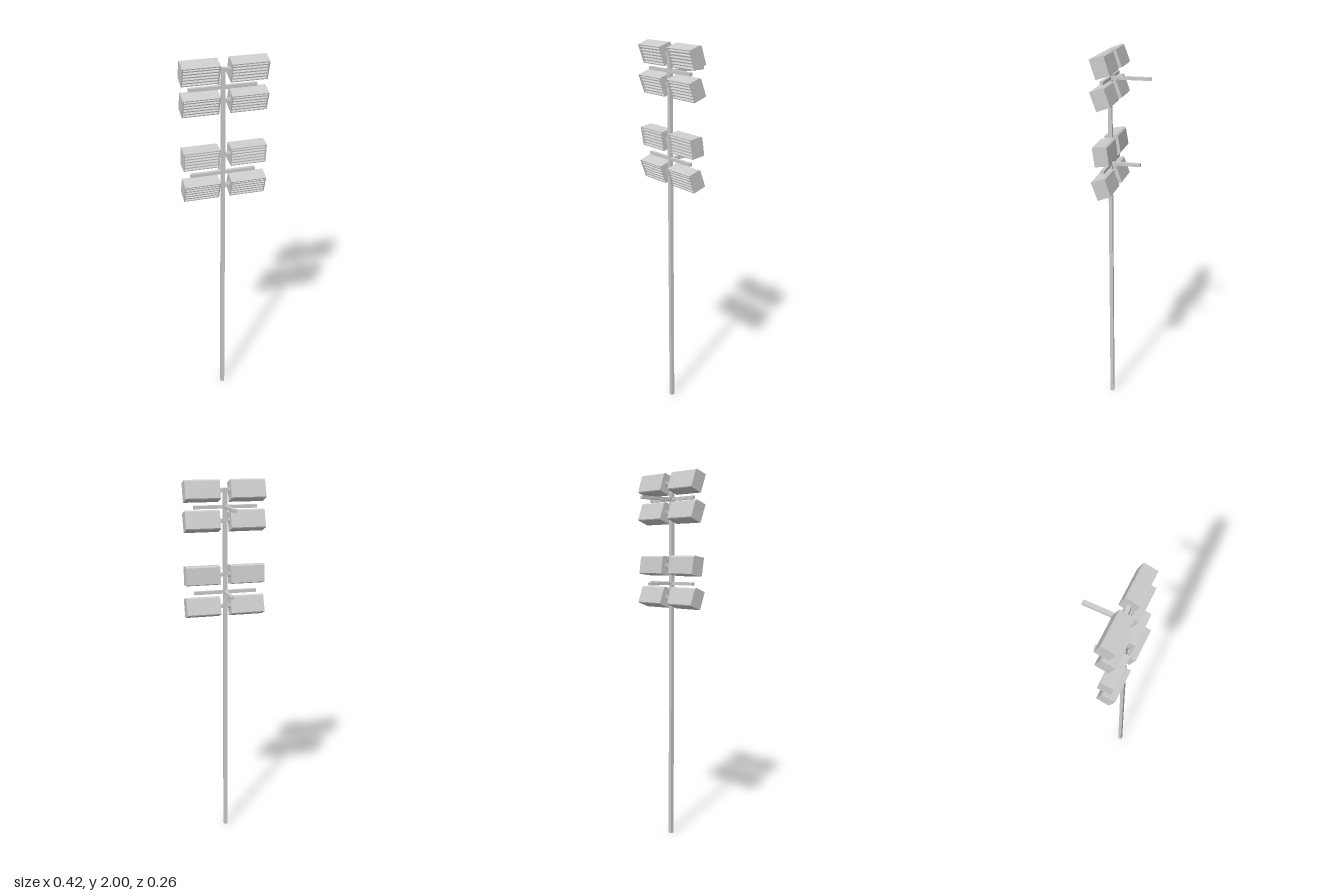
import * as THREE from 'three';

const material = new THREE.MeshStandardMaterial({ color: 0xcccccc, flatShading: true });
const POLE_X = -0.006, POLE_Z = 0.08;
const LAMP_W = 0.183, LAMP_H = 0.1, LAMP_D = 0.074, WALL = 0.005;

function add(parent, name, geometry, x = 0, y = 0, z = 0) {
  const mesh = new THREE.Mesh(geometry, material);
  mesh.name = name;
  mesh.position.set(x, y, z);
  parent.add(mesh);
  return mesh;
}

function box(parent, name, w, h, d, x, y, z) {
  return add(parent, name, new THREE.BoxGeometry(w, h, d), x, y, z);
}

// Extrudes a side profile of [forward, up] points along x, centred
function extrudeX(points, width) {
  const shape = new THREE.Shape(points.map(([f, v]) => new THREE.Vector2(-f, v)));
  const geometry = new THREE.ExtrudeGeometry(shape, { depth: width, bevelEnabled: false });
  return geometry.translate(0, 0, -width / 2).rotateY(Math.PI / 2);
}

// Floodlight: chamfered housing, open at the front, with louvre slats
function createLamp() {
  const lamp = new THREE.Group();
  lamp.name = 'floodlight';
  const f = LAMP_D / 2, v = LAMP_H / 2, c = 0.008, recess = f - 0.02;
  const outer = [[f, v], [-f + c, v], [-f, v - c], [-f, -v + c * 0.5], [-f + c * 0.5, -v], [f, -v]];
  const cavity = [[f, -v + WALL], [recess, -v + WALL], [recess, v - WALL], [f, v - WALL]];
  add(lamp, 'housing', extrudeX([...outer, ...cavity], LAMP_W - 2 * WALL));
  for (const side of [-1, 1]) {
    add(lamp, 'endPlate', extrudeX(outer, WALL), side * (LAMP_W - WALL) / 2);
  }
  for (let i = 0; i < 5; i++) {
    box(lamp, 'louvreSlat', LAMP_W - 2 * WALL, 0.006, 0.016, 0, (i - 2) * 0.0165, f - 0.01);
  }
  return lamp;
}

export function createModel() {
  const model = new THREE.Group();
  model.name = 'floodlightMast';

  box(model, 'pole', 0.02, 1.955, 0.02, POLE_X, 1.955 / 2, POLE_Z);

  // Four rows of paired lamps with their brackets
  const rows = [
    { y: 1.942, left: 18, right: 20 },
    { y: 1.79, left: 20, right: 20 },
    { y: 1.508, left: 8, right: 9 },
    { y: 1.338, left: 20, right: 20 },
  ];
  for (const { y, left, right } of rows) {
    for (const [side, x, tilt] of [[1, 0.119, left], [-1, -0.121, right]]) {
      const lamp = createLamp();
      lamp.position.set(x, y, 0.076);
      lamp.rotation.x = THREE.MathUtils.degToRad(tilt);
      model.add(lamp);
      box(model, 'bracket', 0.025, 0.02, 0.02, POLE_X + side * 0.018, y, POLE_Z - 0.002);
      const knuckle = new THREE.CylinderGeometry(0.014, 0.014, 0.008, 12).rotateZ(Math.PI / 2);
      add(model, 'knuckle', knuckle, x - side * (LAMP_W / 2 + 0.003), y, POLE_Z - 0.004);
    }
  }

  // Crossarms and the rear arms at the same heights
  for (const [y, back] of [[1.86, -0.129], [1.414, -0.08]]) {
    box(model, 'crossarm', 0.336, 0.017, 0.018, -0.007, y, POLE_Z);
    const front = POLE_Z - 0.009;
    box(model, 'rearArm', 0.021, 0.016, front - back, POLE_X, y, (front + back) / 2);
  }
  return model;
}
